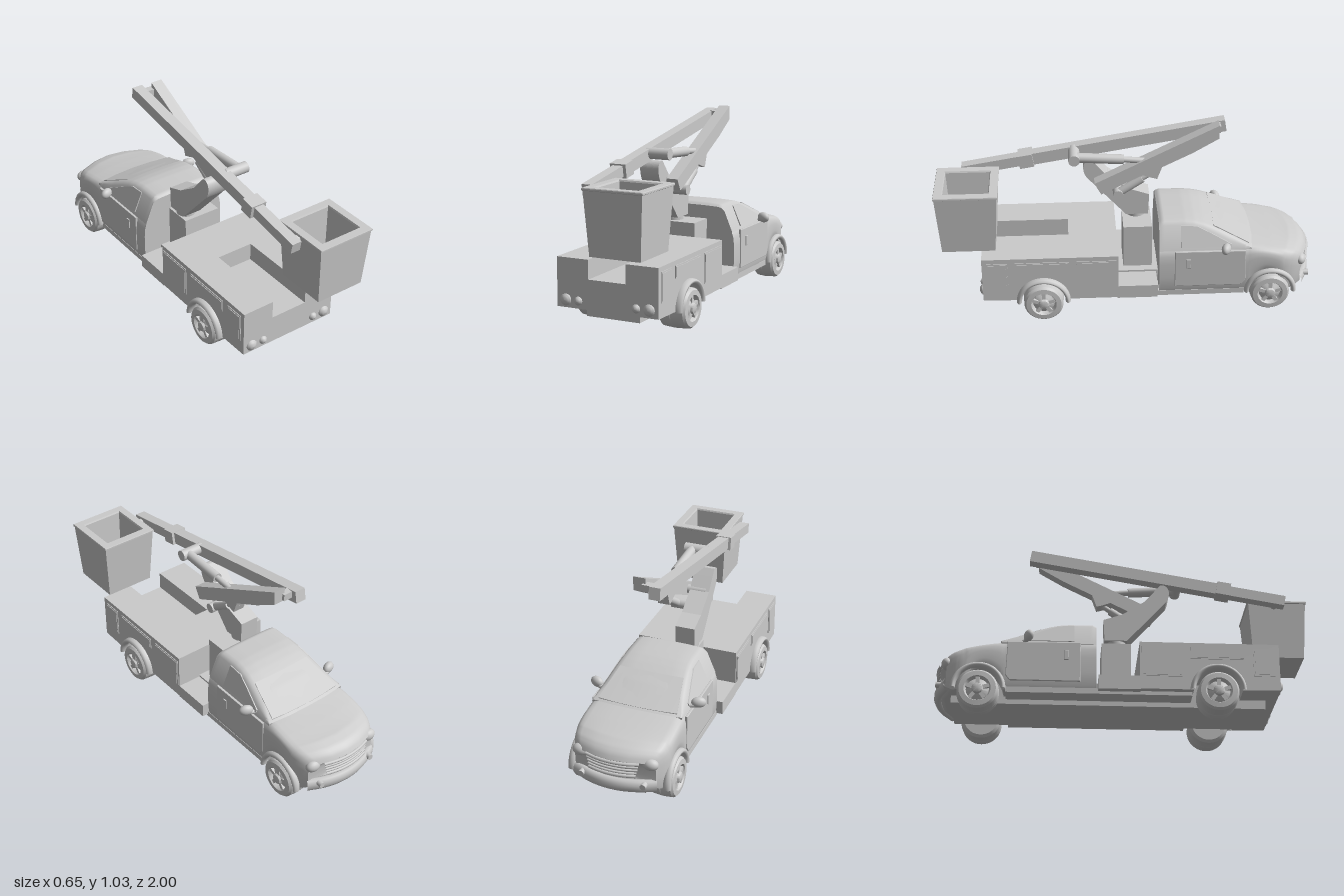
import * as THREE from 'three';
import { toCreasedNormals } from 'three/addons/utils/BufferGeometryUtils.js';

const mat = new THREE.MeshStandardMaterial({ color: 0xcccccc });
const clamp = (v) => Math.min(1, Math.max(0, v));

// Piecewise linear lookup in [[z, value], ...] with rising z
function curve(table, z) {
  if (z <= table[0][0]) return table[0][1];
  for (let i = 1; i < table.length; i++) {
    const [z0, v0] = table[i - 1], [z1, v1] = table[i];
    if (z <= z1) return v0 + (v1 - v0) * (z - z0) / (z1 - z0);
  }
  return table[table.length - 1][1];
}

// Skin over closed rings, capped at both ends
function loft(rings) {
  const n = rings[0].length, pos = rings.flat(2), idx = [];
  rings.slice(1).forEach((_, i) => {
    for (let j = 0; j < n; j++) {
      const a = i * n + j, b = i * n + (j + 1) % n;
      idx.push(a, b, a + n, b, b + n, a + n);
    }
  });
  [0, rings.length - 1].forEach((r, end) => {
    const c = pos.length / 3;
    for (let k = 0; k < 3; k++) pos.push(rings[r].reduce((s, p) => s + p[k], 0) / n);
    for (let j = 0; j < n; j++) {
      const a = r * n + j, b = r * n + (j + 1) % n;
      idx.push(c, end ? a : b, end ? b : a);
    }
  });
  const g = new THREE.BufferGeometry();
  g.setAttribute('position', new THREE.Float32BufferAttribute(pos, 3));
  g.setIndex(idx);
  return toCreasedNormals(g, 0.6);
}

// Ring from a half section (x >= 0, bottom to top), mirrored to the other side
const mirrorRing = (half) => [...half, ...half.slice().reverse().map(([x, y, z]) => [-x, y, z])];

export function createModel() {
  const model = new THREE.Group();
  const add = (name, geo, x = 0, y = 0, z = 0, parent = model) => {
    const m = new THREE.Mesh(geo, mat);
    m.name = name;
    m.position.set(x, y, z);
    parent.add(m);
    return m;
  };
  const box = (name, x0, x1, y0, y1, z0, z1) => add(name,
    new THREE.BoxGeometry(x1 - x0, y1 - y0, z1 - z0), (x0 + x1) / 2, (y0 + y1) / 2, (z0 + z1) / 2);
  const shapeOf = (pts) => new THREE.Shape(pts.map((p) => new THREE.Vector2(...p)));
  // Side profile in (z, y) given thickness from x0 to x1
  const slab = (shape, x0, x1, bevel = 0) => new THREE.ExtrudeGeometry(shape, {
    depth: x1 - x0, bevelEnabled: bevel > 0, bevelSize: bevel, bevelThickness: bevel, bevelSegments: 2, curveSegments: 24,
  }).rotateY(-Math.PI / 2).translate(x1, 0, 0);
  const plate = (name, pts, x0, x1, bevel) => add(name, slab(shapeOf(pts), x0, x1, bevel));
  // Round bar between two points
  const rod = (name, a, b, r) => {
    const p = new THREE.Vector3(...a), q = new THREE.Vector3(...b), d = q.clone().sub(p);
    const m = add(name, new THREE.CylinderGeometry(r, r, d.length(), 24), ...p.clone().add(q).multiplyScalar(0.5));
    m.quaternion.setFromUnitVectors(new THREE.Vector3(0, 1, 0), d.normalize());
  };

  // Cab lower body: hood line, wheel arches and curved nose
  const hood = [[-0.985, 0.285], [-0.97, 0.312], [-0.94, 0.332], [-0.88, 0.35], [-0.78, 0.367], [-0.62, 0.39], [-0.15, 0.395]];
  const frontZ = (x) => -0.985 + 1.3 * x * x;
  const wheelZ = [-0.76, 0.46];
  const bodyRings = [], N = 84;
  for (let i = 0; i <= N; i++) {
    const z = -0.985 + 0.825 * i / N, t = clamp((-z - 0.84) / 0.145);
    const w = 0.256 * (1 - 0.16 * t ** 3), top = curve(hood, z);
    const d = 0.125 ** 2 - (z - wheelZ[0]) ** 2;
    const b = Math.max(curve([[-0.985, 0.14], [-0.95, 0.115]], z), d > 0 ? 0.11 + Math.sqrt(d) : 0);
    const bend = 1.3 * clamp((-z - 0.68) / 0.3);
    bodyRings.push(mirrorRing([[0.4, 0], [0.95, 0], [0.985, 0.1], [1, 0.35], [1, 0.65], [0.985, 0.82], [0.95, 0.92], [0.89, 0.975], [0.8, 1], [0.4, 1.03], [0.01, 1.04]]
      .map(([fx, fy]) => [fx * w, b + fy * (top - b), z + bend * (fx * w) ** 2])));
  }
  add('cabBody', loft(bodyRings));

  // Cab upper: windshield, pillars and roof
  const roof = [[-0.65, 0.386], [-0.44, 0.487], [-0.4, 0.504], [-0.35, 0.517], [-0.3, 0.523], [-0.18, 0.523], [-0.16, 0.51]];
  const sideX = (y) => 0.243 - 0.44 * (y - 0.385);
  const roofRings = [];
  for (let i = 0; i <= 50; i++) {
    const z = -0.65 + 0.49 * i / 50, h = curve(roof, z), s = sideX(h), r = Math.min(0.02, (h - 0.38) / 3);
    roofRings.push(mirrorRing([[0.245, 0.375], [sideX(h - r), h - r], [s - r * 0.4, h - r * 0.25], [s - r * 1.4, h], [s * 0.5, h + 0.003], [0.002, h + 0.004]]
      .map(([x, y]) => [x, y, z - 0.02 * (1 - (x / 0.25) ** 2) * clamp((-z - 0.4) / 0.1)])));
  }
  add('cabRoof', loft(roofRings));

  // Windshield pane laid on the slope
  const pane = new THREE.BoxGeometry(2, 0.006, 1, 8, 1, 1), pp = pane.attributes.position;
  for (let i = 0; i < pp.count; i++) {
    const z = -0.54 + 0.19 * pp.getZ(i), h = curve(roof, z), x = pp.getX(i) * (sideX(h) - 0.025);
    pp.setXYZ(i, x, h + 0.002 + pp.getY(i), z - 0.02 * (1 - (x / 0.25) ** 2) * clamp((-z - 0.4) / 0.1));
  }
  pane.computeVertexNormals();
  add('windshield', pane);

  // Nose: grille bars, bumper and lamps
  const noseBar = (name, y, half, r, dz = 0, flat = 1) => {
    const pts = [-1, -0.6, -0.2, 0.2, 0.6, 1].map((t) => new THREE.Vector3(t * half, 0, frontZ(t * half) + dz));
    add(name, new THREE.TubeGeometry(new THREE.CatmullRomCurve3(pts), 24, r, 10), 0, y, 0).scale.y = flat;
  };
  for (let i = 0; i < 5; i++) noseBar('grilleBar', 0.212 + i * 0.017, 0.125 + i * 0.004, i % 4 ? 0.006 : 0.009);
  noseBar('bumper', 0.15, 0.215, 0.024, 0.01, 1.5);

  for (const s of [1, -1]) {
    add('headlight', new THREE.SphereGeometry(1, 20, 12), s * 0.186, 0.272, -0.925).scale.set(0.042, 0.032, 0.03);
    const fog = add('fogLight', new THREE.CylinderGeometry(0.016, 0.016, 0.03, 20), s * 0.165, 0.165, -0.965);
    fog.rotation.x = Math.PI / 2;

    // Door with handle, window and mirror
    const dx = (a, b) => (s > 0 ? [a, b] : [-b, -a]);
    plate('door', [[-0.245, 0.165], [-0.245, 0.375], [-0.615, 0.372], [-0.62, 0.19], [-0.6, 0.165]], ...dx(0.25, 0.258), 0.003);
    plate('doorHandle', [[-0.305, 0.28], [-0.305, 0.33], [-0.325, 0.33], [-0.325, 0.28]], ...dx(0.255, 0.265), 0.002);
    const win = slab(shapeOf([[-0.275, 0.392], [-0.275, 0.503], [-0.36, 0.498], [-0.43, 0.465], [-0.545, 0.405], [-0.545, 0.392]]), -0.005, 0.005);
    const wp = win.attributes.position;
    for (let i = 0; i < wp.count; i++) wp.setX(i, wp.getX(i) + s * sideX(wp.getY(i)));
    win.computeVertexNormals();
    add('sideWindow', win);
    const mirror = add('mirror', new THREE.SphereGeometry(1, 20, 14), s * 0.28, 0.403, -0.51);
    mirror.scale.set(0.038, 0.029, 0.024);
    mirror.rotation.y = -s * 0.35;
    rod('mirrorArm', [s * 0.23, 0.385, -0.53], [s * 0.27, 0.39, -0.52], 0.012);

    // Service body side with wheel arch
    const side = shapeOf([[0.78, 0.125], [0.78, 0.38], [0.06, 0.38], [0.06, 0.12], [0.335, 0.12]]);
    side.absarc(wheelZ[1], 0.12, 0.125, Math.PI, 0, true);
    add('serviceBodySide', slab(side, ...dx(0.105, 0.285)));
    for (const [z0, z1, y0, y1] of [[0.645, 0.755, 0.2, 0.355], [0.32, 0.605, 0.29, 0.355], [0.07, 0.28, 0.19, 0.355]]) {
      box('lockerDoor', ...dx(0.283, 0.289), y0, y1, z0, z1);
      box('lockerPanel', ...dx(0.285, 0.292), y0 + 0.008, y1 - 0.008, z0 + 0.008, z1 - 0.008);
    }

    // Tail lamps
    for (const [x, r] of [[0.235, 0.03], [0.163, 0.022]]) {
      const lamp = [[r, 0], [r, 0.008], [r * 0.8, 0.01], [r * 0.75, 0.014], [r * 0.45, 0.02], [0, 0.022]].map((p) => new THREE.Vector2(...p));
      add('tailLamp', new THREE.LatheGeometry(lamp, 24).rotateX(Math.PI / 2), s * x, 0.165, 0.778);
    }

    // Wheels: tyre, dished rim, slots and hub; x is the axle direction
    wheelZ.forEach((z, rear) => {
      const g = new THREE.Group(), w = rear ? 0.155 : 0.125;
      g.name = rear ? 'rearWheel' : 'frontWheel';
      g.position.set(s * (rear ? 0.315 : 0.275), 0.108, z);
      if (s < 0) g.rotation.y = Math.PI;
      model.add(g);
      const prof = [[0, -w], [0.09, -w], [0.104, -w + 0.012], [0.108, -w * 0.55], [0.105, -w * 0.52], [0.108, -w * 0.49], [0.104, -0.012], [0.094, 0],
        [0.068, 0.002], [0.064, -0.004], [0.058, -0.022], [0.04, -0.012], [0.03, -0.006], [0.025, 0.006], [0, 0.009]];
      const lathe = new THREE.LatheGeometry(prof.map((p) => new THREE.Vector2(...p)), 40).rotateZ(-Math.PI / 2);
      add('tyreAndRim', toCreasedNormals(lathe, 0.6), 0, 0, 0, g);
      for (let k = 0; k < 5; k++) {
        const a = k * Math.PI * 0.4;
        const spoke = add('spoke', new THREE.BoxGeometry(0.016, 0.036, 0.02), -0.012, 0.044 * Math.cos(a), 0.044 * Math.sin(a), g);
        spoke.rotation.x = a;
      }
      // Arch flare
      const R = rear ? 0.13 : 0.127;
      const flare = new THREE.TorusGeometry(R, 0.014, 10, 36, Math.PI).rotateY(Math.PI / 2);
      add('archFlare', flare, s * (rear ? 0.29 : 0.256), 0.115, z).scale.x = rear ? 2 : 1.5;
    });
  }

  // Frame, deck, rear channel and pedestal
  box('chassis', -0.15, 0.15, 0.075, 0.2, -0.9, 0.72);
  box('sill', -0.25, 0.25, 0.1, 0.13, -0.62, 0.33);
  box('platform', -0.285, 0.285, 0.115, 0.19, -0.15, 0.065);
  box('bodyCenter', -0.106, 0.106, 0.125, 0.38, 0.06, 0.32);
  box('rearChannelFloor', -0.106, 0.106, 0.125, 0.28, 0.32, 0.78);
  box('pedestal', -0.11, 0.105, 0.19, 0.447, -0.13, 0.025);

  // Turret with rounded head
  add('turntable', new THREE.CylinderGeometry(0.052, 0.052, 0.03, 32), -0.055, 0.46, -0.05);
  const turret = shapeOf([[-0.115, 0.465], [0.005, 0.465], [0.215, 0.7]]);
  turret.bezierCurveTo(0.25, 0.76, 0.225, 0.81, 0.185, 0.8);
  [[0.155, 0.765], [0.1, 0.7], [-0.02, 0.62], [-0.12, 0.585]].forEach((p) => turret.lineTo(...p));
  add('turret', slab(turret, -0.11, -0.002));

  // Lower boom with gusset, and its lift cylinder
  plate('lowerBoom', [[0.14, 0.64], [0.175, 0.705], [-0.475, 1.03], [-0.475, 0.955], [-0.34, 0.875], [-0.18, 0.795], [-0.155, 0.725], [-0.12, 0.735], [-0.08, 0.75]], 0.015, 0.08);
  rod('boomPivot', [-0.09, 0.69, 0.12], [0.07, 0.69, 0.12], 0.024);
  rod('liftCylinder', [0.05, 0.63, 0.05], [0.05, 0.715, -0.08], 0.022);
  rod('liftRod', [0.05, 0.71, -0.07], [0.05, 0.77, -0.16], 0.014);
  rod('liftCylinderPin', [-0.02, 0.63, 0.05], [0.08, 0.63, 0.05], 0.027);

  // Upper boom, telescoping tip and sleeve, all along one slope
  const along = (name, z0, z1, h, x0, x1) => {
    const y = (z) => 0.98 - 0.168 * (z + 0.53), k = 0.168 * h;
    plate(name, [[z0 - k, y(z0) - h], [z1 - k, y(z1) - h], [z1 + k, y(z1) + h], [z0 + k, y(z0) + h]], x0, x1);
  };
  along('upperBoom', -0.52, 0.55, 0.032, -0.08, -0.02);
  along('upperBoomTip', 0.5, 0.87, 0.028, -0.078, -0.022);
  along('boomSleeve', 0.495, 0.57, 0.036, -0.095, -0.005);
  box('elbowLink', -0.03, 0.03, 0.963, 1.0, -0.49, -0.45);

  // Upper cylinder and its pins
  rod('upperCylinder', [0.05, 0.85, 0.28], [0.05, 0.832, 0.02], 0.026);
  rod('upperCylinderRod', [0.05, 0.834, 0.04], [0.05, 0.81, -0.2], 0.016);
  rod('upperCylinderPin', [-0.04, 0.85, 0.28], [0.092, 0.85, 0.28], 0.03);

  // Bucket: hollow four-sided tub
  const tub = [[0, 0.447], [0.138, 0.447], [0.158, 0.765], [0.163, 0.768], [0.163, 0.776], [0.161, 0.78], [0.12, 0.78], [0.116, 0.772], [0.103, 0.48], [0, 0.48]]
    .map(([h, y]) => new THREE.Vector2(h * Math.SQRT2, y));
  add('bucket', toCreasedNormals(new THREE.LatheGeometry(tub, 4, Math.PI / 4), 0.4), 0.158, 0, 0.837);
  rod('bucketPin', [-0.05, 0.75, 0.82], [0.02, 0.75, 0.82], 0.02);

  return model;
}
